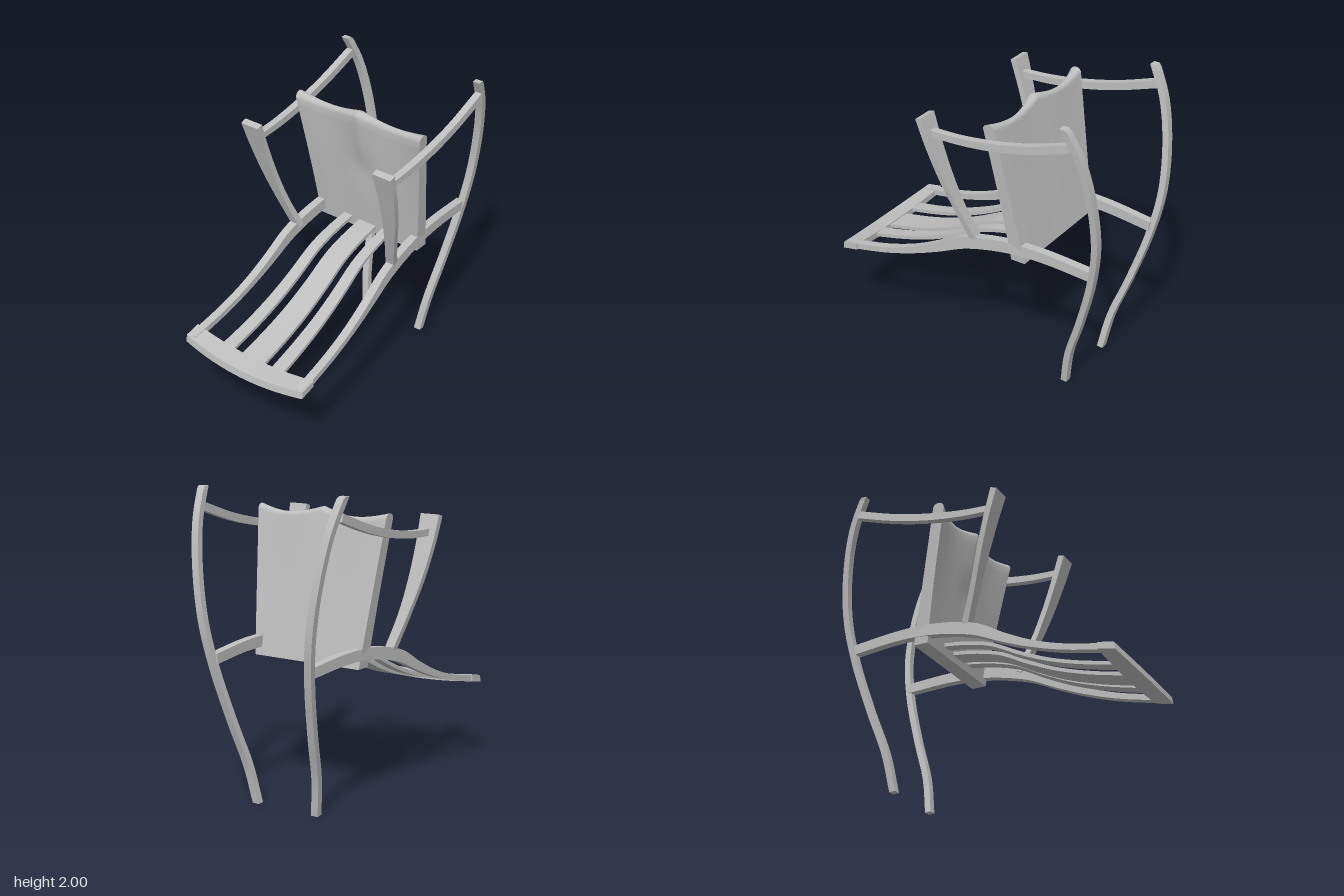
import * as THREE from 'three';
import { toCreasedNormals } from 'three/addons/utils/BufferGeometryUtils.js';

const wood = new THREE.MeshStandardMaterial({ color: 0xbfbfbf });
wood.name = 'pale grey';

// Closed skin over a row of rings (each ring an array of [x, y, z]) with fan caps.
function skin(rings, crease = 0.7) {
  const n = rings[0].length, pos = rings.flat(2), idx = [];
  for (let i = 0; i < rings.length - 1; i++) {
    for (let j = 0; j < n; j++) {
      const a = i * n + j, b = i * n + (j + 1) % n;
      idx.push(a, a + n, b, b, a + n, b + n);
    }
  }
  for (const end of [0, rings.length - 1]) {
    const ring = rings[end], c = pos.length / 3;
    for (let k = 0; k < 3; k++) pos.push(ring.reduce((s, p) => s + p[k], 0) / n);
    for (let j = 0; j < n; j++) {
      const a = end * n + j, b = end * n + (j + 1) % n;
      if (end) idx.push(c, b, a); else idx.push(c, a, b);
    }
  }
  const g = new THREE.BufferGeometry();
  g.setAttribute('position', new THREE.Float32BufferAttribute(pos, 3));
  g.setIndex(idx);
  return toCreasedNormals(g, crease);
}

// Curved bar through rows of [z, y, x, width across x, thickness].
function bar(rows, side = 1, steps = 28) {
  const path = new THREE.CatmullRomCurve3(rows.map(r => new THREE.Vector3(r[2] * side, r[1], r[0])));
  const size = new THREE.CatmullRomCurve3(rows.map(r => new THREE.Vector3(r[3], r[4], 0)), false, 'catmullrom');
  const rings = [];
  for (let i = 0; i <= steps; i++) {
    const t = i / steps, p = path.getPoint(t), d = path.getTangent(t), s = size.getPoint(t);
    const l = Math.hypot(d.y, d.z), ny = -d.z / l, nz = d.y / l;
    rings.push([[1, 1], [-1, 1], [-1, -1], [1, -1]].map(([u, v]) => [
      p.x + u * s.x / 2,
      THREE.MathUtils.clamp(p.y + v * ny * s.y / 2, 0, 2),
      p.z + v * nz * s.y / 2,
    ]));
  }
  return skin(rings);
}

// Side profile shared by seat rails and slats: [z, y, thickness]
const seatLine = [
  [-0.92, 0.966, 0.066], [-0.6, 0.99, 0.07], [-0.38, 0.985, 0.075], [-0.18, 0.955, 0.08], [0, 0.905, 0.08],
  [0.2, 0.803, 0.06], [0.4, 0.715, 0.045], [0.62, 0.645, 0.04], [0.93, 0.58, 0.04],
];

// Front board: bowed forward and sagging in the middle
function frontBoard() {
  const rings = [];
  for (let i = 0; i <= 20; i++) {
    const u = i / 10 - 1, k = 1 - u * u, x = 0.47 * u;
    const front = 0.95 + 0.035 * k, back = 0.835 + 0.015 * k, drop = 0.038 * k;
    rings.push([
      [x, 0.602 - drop, front - 0.008], [x, 0.622 - drop, back],
      [x, 0.578 - drop, back], [x, 0.554 - drop, front],
    ]);
  }
  return skin(rings);
}

// Padded back: flat rear, two shallow lobes in front, rounded top
function backPad() {
  const rings = [], rear = y => -0.457 + 0.183 * (y - 0.9);
  for (let i = 0; i <= 40; i++) {
    const u = i / 20 - 1, lobe = Math.sin(Math.PI * Math.abs(u));
    const top = 1.855 - 0.04 * lobe - 0.012 * Math.abs(u);
    const at = (y, z) => [u * (0.395 + 0.09 * (y - 0.9) / 0.95), y, z];
    const face = y => {
      const v = (y - 0.9) / 0.95;
      const dent = 0.015 * Math.exp(-((u / 0.2) ** 2) - ((y - 1.4) / 0.12) ** 2);
      return rear(y) + 0.08 + 0.02 * (1 - v) ** 3 - 0.04 * lobe * v ** 2 - dent;
    };
    const ring = [], mid = top - 0.035;
    const zf = face(mid), zb = rear(mid);
    // rounded top from front to rear
    for (let a = 0; a <= 8; a++) {
      const t = Math.PI * a / 8;
      ring.push(at(mid + 0.035 * Math.sin(t), (zf + zb) / 2 + (zf - zb) / 2 * Math.cos(t)));
    }
    ring.push(at(0.9, rear(0.9)));
    for (let k = 0; k < 16; k++) {
      const y = 0.9 + (mid - 0.9) * k / 16;
      ring.push(at(y, face(y)));
    }
    rings.push(ring);
  }
  return skin(rings, 0.9);
}

export function createModel() {
  const chair = new THREE.Group();
  chair.name = 'chair';
  const add = (name, geometry) => {
    const mesh = new THREE.Mesh(geometry, wood);
    mesh.name = name;
    chair.add(mesh);
  };

  for (const [label, s] of [['left', 1], ['right', -1]]) {
    // Long bowed leg, leaning outward as it rises
    const leg = [[-0.67, 0], [-0.715, 0.25], [-0.815, 0.55], [-0.915, 0.9], [-0.963, 1.2],
      [-0.95, 1.52], [-0.89, 1.8], [-0.793, 2.01]];
    add(label + 'Leg', bar(leg.map(([z, y]) => [z, y, 0.225 + 0.145 * y, 0.05, 0.042]), s, 40));
    // Seat rail
    add(label + 'SeatRail', bar(seatLine.map(([z, y, h]) => [z, y, 0.395 + 0.044 * z, 0.055, h]), s, 40));
    // Sagging arm
    add(label + 'Arm', bar([[0.16, 1.683, 0.498, 0.048, 0.042], [-0.05, 1.693, 0.502, 0.048, 0.046],
      [-0.3, 1.728, 0.506, 0.048, 0.05], [-0.55, 1.787, 0.508, 0.048, 0.05],
      [-0.83, 1.88, 0.508, 0.048, 0.052]], s));
    // Arm post, flaring upward
    add(label + 'ArmPost', bar([[-0.088, 0.94, 0.382, 0.062, 0.045], [0, 1.17, 0.436, 0.072, 0.038],
      [0.07, 1.38, 0.476, 0.096, 0.038], [0.143, 1.61, 0.501, 0.12, 0.04],
      [0.2, 1.79, 0.508, 0.134, 0.044]], s));
    // Narrow side slat
    add(label + 'Slat', bar(seatLine.slice(2).map(([z, y]) =>
      [Math.min(z, 0.9), y - 0.016, 0.17 + 0.034 * z, 0.075 + 0.018 * z, 0.024]), s, 36));
  }

  // Wide middle slat
  add('middleSlat', bar(seatLine.slice(2).map(([z, y]) =>
    [Math.min(z, 0.9), y - 0.026, 0, 0.148 + 0.034 * z, 0.024]), 1, 36));
  add('frontBoard', frontBoard());
  add('backPad', backPad());
  return chair;
}
